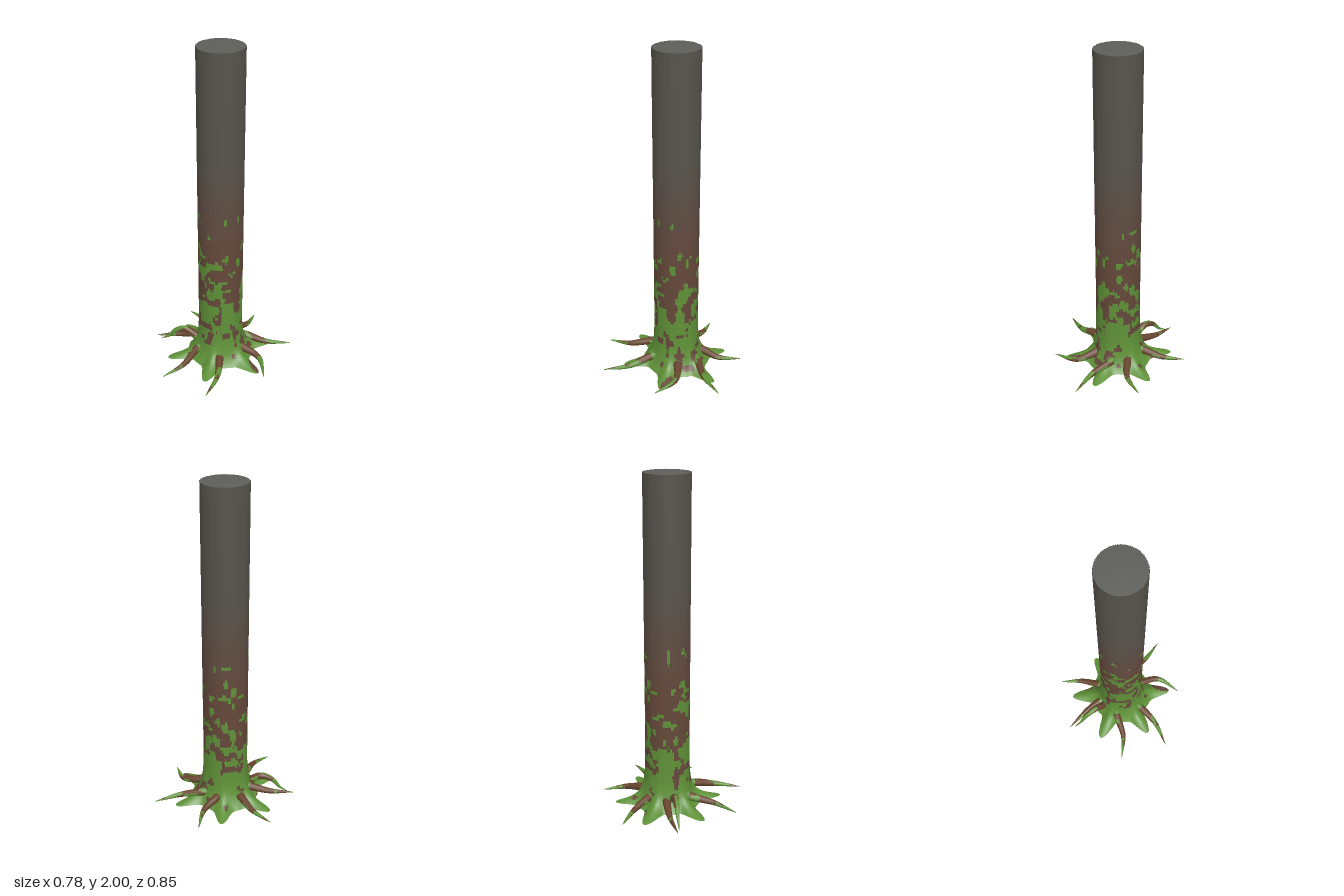
import * as THREE from 'three';

const BARK = new THREE.Color(0x65483a), GREY = new THREE.Color(0x57534c);
const MOSS = 0x5f9138, ROOT_BROWN = 0x68452f;
const SEG = 144, R = 0.132, CZ = -0.022;

// Smooth, repeatable value noise that wraps around in u
function hash(a, b) {
  const s = Math.sin(a * 127.1 + b * 311.7) * 43758.5453;
  return s - Math.floor(s);
}
function noise(u, v, wrap) {
  const i = Math.floor(u), j = Math.floor(v);
  const f = (t) => t * t * (3 - 2 * t);
  const a = f(u - i), b = f(v - j), i0 = i % wrap, i1 = (i + 1) % wrap;
  const lo = THREE.MathUtils.lerp(hash(i0, j), hash(i1, j), a);
  const hi = THREE.MathUtils.lerp(hash(i0, j + 1), hash(i1, j + 1), a);
  return THREE.MathUtils.lerp(lo, hi, b);
}

// One mesh per colour, all sharing the same vertices and normals
function colouredMeshes(name, attributes, facesByColour) {
  const group = new THREE.Group();
  group.name = name;
  for (const [colour, index] of facesByColour) {
    const g = new THREE.BufferGeometry();
    for (const key of ['position', 'normal']) g.setAttribute(key, attributes[key]);
    g.setIndex(index);
    const mesh = new THREE.Mesh(g, new THREE.MeshStandardMaterial({ color: colour, side: THREE.DoubleSide }));
    mesh.name = name + 'Patch' + group.children.length;
    group.add(mesh);
  }
  return group;
}
function addFaces(map, colour, ...corners) {
  if (!map.has(colour)) map.set(colour, []);
  map.get(colour).push(...corners);
}

// Buttress tips on the ground: x, z
const BUTTRESSES = [[-0.13, -0.31], [0.2, -0.285], [-0.33, -0.07], [0.33, 0.015], [0.125, 0.285], [-0.195, 0.25]]
  .map(([x, z]) => ({ angle: Math.atan2(z - CZ, x), reach: Math.hypot(x, z - CZ) }));

function trunkRadius(angle, y) {
  const fade = Math.max(0, 1 - y / 0.45);
  let r = R + 0.07 * Math.exp(-y / 0.085) * fade;
  for (const b of BUTTRESSES) {
    const d = Math.atan2(Math.sin(angle - b.angle), Math.cos(angle - b.angle));
    const body = Math.exp(-((d / 0.17) ** 2));
    r += body * fade * ((b.reach - 0.212) * Math.exp(-y / 0.028) + 0.012 * Math.exp(-y / 0.12));
  }
  const u = ((angle / (2 * Math.PI)) + 1) % 1;
  r += 0.014 * (noise(u * 36, 3, 36) - 0.5) * Math.exp(-y / 0.05); // ragged foot
  return r;
}

// Ridged bark trunk with flared foot, coloured by height and moss patches
function createTrunk() {
  const heights = [0, 0.006, 0.013, 0.021, 0.03, 0.04, 0.053, 0.068, 0.085, 0.105, 0.13, 0.155, 0.18];
  for (let y = 0.2; y < 1.04; y += 0.02) heights.push(y);
  for (let k = 0; k <= 10; k++) heights.push(1.05 + k * 0.094);
  const pos = [];
  heights.forEach((y) => {
    for (let i = 0; i < SEG; i++) {
      const a = (i / SEG) * Math.PI * 2;
      const ridge = (i % 2 ? -1 : 1) * (0.0012 + 0.0014 * hash(i, 9)) * Math.min(1, 0.3 + y * 2);
      const r = trunkRadius(a, y) + ridge;
      pos.push(r * Math.cos(a), y, CZ + r * Math.sin(a));
    }
  });
  const faces = new Map(), all = [];
  for (let j = 0; j < heights.length - 1; j++) {
    const y = (heights[j] + heights[j + 1]) / 2;
    const blend = Math.round(THREE.MathUtils.smoothstep(y, 0.65, 1.5) * 8) / 8;
    const bark = BARK.clone().lerp(GREY, blend).getHex();
    for (let i = 0; i < SEG; i++) {
      const n = 0.65 * noise(i / SEG * 18, y * 20, 18) + 0.35 * noise(i / SEG * 36, y * 34 + 50, 36);
      const limit = y < 0.3 ? 0.27 + 0.15 * y / 0.3 : 0.42 + 0.5 * (y - 0.3);
      const colour = y < 1.02 && n > limit ? MOSS : bark;
      const a = j * SEG + i, b = j * SEG + (i + 1) % SEG, c = a + SEG, d = b + SEG;
      const quad = [a, c, b, b, c, d];
      addFaces(faces, colour, ...quad);
      all.push(...quad);
    }
  }
  const g = new THREE.BufferGeometry();
  g.setAttribute('position', new THREE.Float32BufferAttribute(pos, 3));
  g.setIndex(all);
  g.computeVertexNormals();
  const trunk = colouredMeshes('trunk', g.attributes, faces);

  // Slightly domed cut top sharing the ridged rim
  const rim = pos.slice(-SEG * 3), capIndex = [];
  for (let i = 0; i < SEG; i++) capIndex.push(i, SEG, (i + 1) % SEG);
  const cap = new THREE.BufferGeometry();
  cap.setAttribute('position', new THREE.Float32BufferAttribute([...rim, 0, 2, CZ], 3));
  cap.setIndex(capIndex);
  cap.computeVertexNormals();
  const top = new THREE.Mesh(cap, new THREE.MeshStandardMaterial({ color: 0x5d5e59, side: THREE.DoubleSide }));
  top.name = 'cutTop';
  trunk.add(top);
  return trunk;
}

// Tapering root swept along a curve, pointed at the tip
function createRoot(points, radius, seed) {
  const curve = new THREE.CatmullRomCurve3(points.map((p) => new THREE.Vector3(...p)));
  const along = 30, around = 12;
  const g = new THREE.TubeGeometry(curve, along, 1, around);
  const p = g.attributes.position, v = new THREE.Vector3();
  for (let j = 0; j <= along; j++) {
    const t = j / along, centre = curve.getPointAt(t);
    const r = radius * Math.min(1, 0.25 + t * 5) * (1 - 0.93 * t ** 1.6);
    for (let i = 0; i <= around; i++) {
      const k = j * (around + 1) + i;
      v.fromBufferAttribute(p, k).sub(centre).multiplyScalar(r).add(centre);
      p.setXYZ(k, v.x, Math.max(v.y, 0), v.z);
    }
  }
  const faces = new Map(), idx = g.index.array;
  for (let f = 0; f < idx.length; f += 6) {
    const q = f / 6, j = Math.floor(q / around), i = q % around;
    const t = j / along;
    const n = noise(i / around * 4, t * 7 + seed * 13, 4);
    const brown = n > (t > 0.15 && t < 0.62 ? 0.3 : 0.72);
    addFaces(faces, brown ? ROOT_BROWN : MOSS, ...idx.slice(f, f + 6));
  }
  return colouredMeshes('root', g.attributes, faces);
}

// Each root: start x z, bend x z, tip x z
const ROOTS = [
  [-0.025, -0.17, 0.003, -0.29, -0.035, -0.425],
  [0.07, -0.16, 0.205, -0.225, 0.325, -0.335],
  [0.14, -0.055, 0.27, -0.068, 0.39, 0.037],
  [0.11, 0.12, 0.185, 0.235, 0.225, 0.39],
  [-0.06, 0.13, -0.046, 0.28, -0.085, 0.425],
  [-0.15, 0.015, -0.265, 0.065, -0.39, 0.148],
  [-0.145, -0.1, -0.25, -0.155, -0.39, -0.185],
];

export function createModel() {
  const model = new THREE.Group();
  model.name = 'treeTrunk';
  model.add(createTrunk());

  const roots = new THREE.Group();
  roots.name = 'roots';
  ROOTS.forEach(([sx, sz, bx, bz, tx, tz], k) => {
    const inner = [sx * 0.65, 0.075, CZ + (sz - CZ) * 0.65];
    roots.add(createRoot([inner, [sx, 0.07, sz], [bx, 0.04, bz], [tx, 0.018, tz]], 0.026, k + 1));
  });
  // Arched root that lifts off the ground before diving back
  const arch = createRoot([
    [-0.08, 0.05, 0.03], [-0.135, 0.085, 0.055], [-0.2, 0.122, 0.082],
    [-0.26, 0.1, 0.108], [-0.31, 0.04, 0.13], [-0.352, 0.014, 0.147],
  ], 0.027, 11);
  arch.name = 'archedRoot';
  roots.add(arch);
  model.add(roots);
  return model;
}
